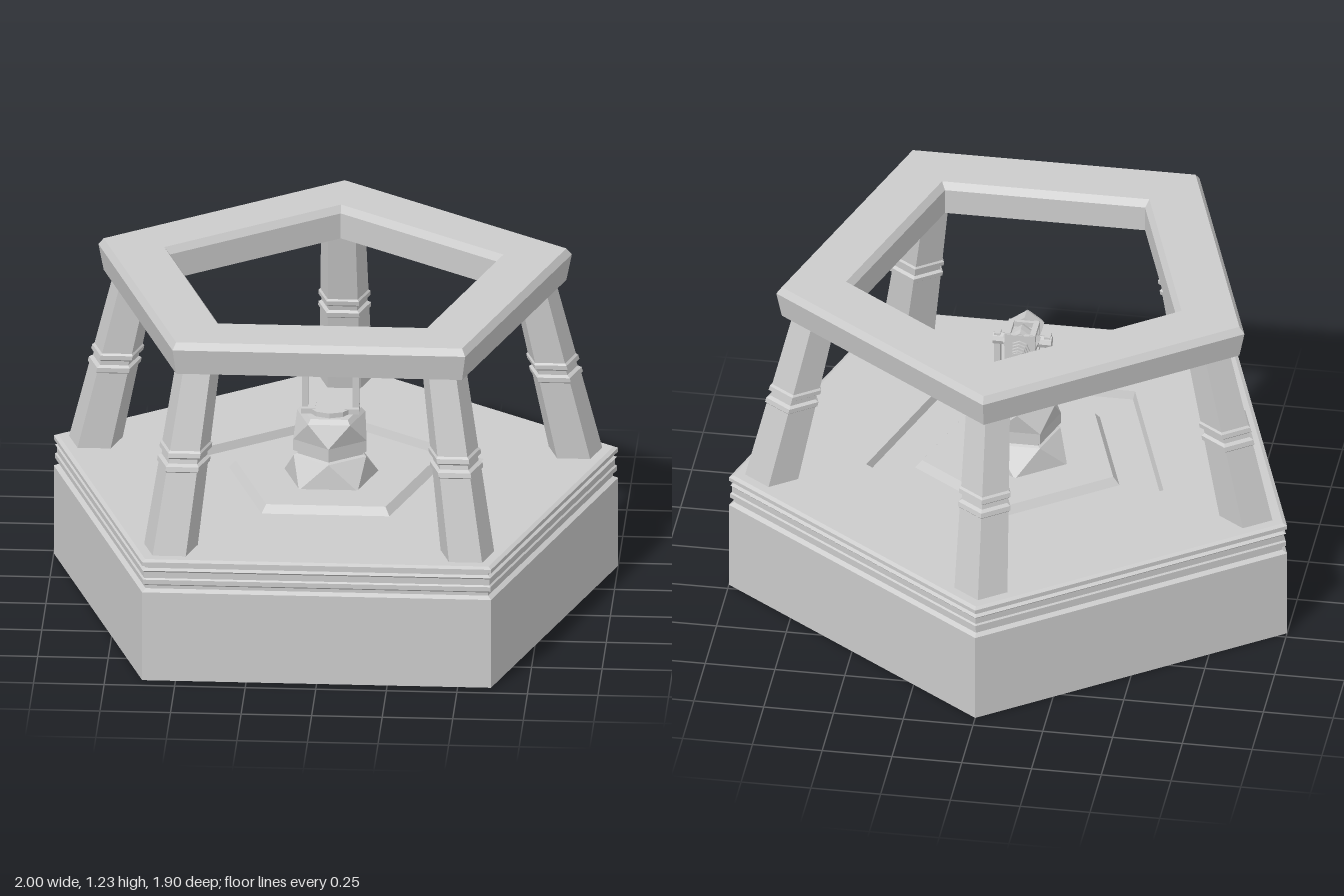
import * as THREE from 'three';

const SIDES = 5;
const CENTRE_Z = 0.1; // pentagon centre, so the bounds are centred on z = 0
const mat = new THREE.MeshStandardMaterial({ color: 0xcccccc, flatShading: true, side: THREE.DoubleSide });

function add(parent, name, geometry, x = 0, y = 0, z = 0) {
  const mesh = new THREE.Mesh(geometry, mat);
  mesh.name = name;
  mesh.position.set(x, y, z);
  parent.add(mesh);
  return mesh;
}

// Pentagonal solid from a [radius, height] profile; a corner points to -z when start = PI
function pentagon(profile, start = Math.PI, sides = SIDES) {
  return new THREE.LatheGeometry(profile.map(([r, y]) => new THREE.Vector2(r, y)), sides, start);
}

// Two pentagons twisted against each other, joined by triangles
function antiprism(r0, y0, r1, y1, start) {
  const pos = [];
  const pt = (r, y, a) => [r * Math.sin(a), y, r * Math.cos(a)];
  const step = (2 * Math.PI) / SIDES;
  for (let i = 0; i < SIDES; i++) {
    const a = start + i * step;
    const low = pt(r0, y0, a), lowNext = pt(r0, y0, a + step);
    const top = pt(r1, y1, a + step / 2), topNext = pt(r1, y1, a + step * 1.5);
    pos.push(...low, ...lowNext, ...top, ...lowNext, ...topNext, ...top);
  }
  const g = new THREE.BufferGeometry();
  g.setAttribute('position', new THREE.Float32BufferAttribute(pos, 3));
  g.computeVertexNormals();
  return g;
}

// Column leaning inward: a banded pentagonal profile sheared along its height
function columnGeometry() {
  const y0 = 0.45, y1 = 1.12;
  const radius = y => 0.1 - 0.018 * (y - y0) / (y1 - y0);
  const bands = [[0.45, 0], [0.75, 0], [0.755, 0.007], [0.772, 0.007], [0.78, -0.006],
    [0.796, -0.006], [0.804, 0.007], [0.82, 0.007], [0.827, 0], [1.12, 0]];
  const g = pentagon(bands.map(([y, d]) => [radius(y) + d, y]), 0);
  const p = g.attributes.position;
  for (let i = 0; i < p.count; i++) {
    p.setZ(i, p.getZ(i) + 0.895 - 0.157 * (p.getY(i) - y0) / (y1 - y0));
  }
  return g;
}

function createGun() {
  const gun = new THREE.Group();
  gun.name = 'gun';
  gun.position.set(0, 0.925, 0);
  const along = g => g.rotateX(Math.PI / 2); // profile height becomes z
  add(gun, 'rearHousing', along(pentagon([[0, 0.04], [0.064, 0.04], [0.07, 0.06], [0.07, 0.09], [0.058, 0.115], [0, 0.118]])), 0, 0, 0);
  add(gun, 'rearCap', along(pentagon([[0, 0], [0.066, 0], [0.066, 0.05], [0.052, 0.076], [0, 0.076]])), 0, 0, 0.142);
  // Open cage around the breech
  add(gun, 'breech', new THREE.BoxGeometry(0.07, 0.07, 0.1), 0, 0, 0.09);
  for (const z of [0.045, 0.135]) add(gun, 'cagePlate', new THREE.BoxGeometry(0.11, 0.11, 0.014), 0, 0, z);
  for (const x of [-0.045, 0.045]) for (const y of [-0.051, 0.051]) {
    add(gun, 'cageRail', new THREE.BoxGeometry(0.02, 0.016, 0.1), x, y, 0.09);
  }
  // Finned barrel
  add(gun, 'barrel', along(new THREE.CylinderGeometry(0.011, 0.011, 0.16, 8)), 0, 0, -0.02);
  add(gun, 'barrelSleeve', along(new THREE.CylinderGeometry(0.022, 0.022, 0.07, 8)), 0, 0, 0.01);
  for (let i = 0; i < 4; i++) {
    add(gun, 'coolingFin', along(new THREE.CylinderGeometry(0.036 - i * 0.003, 0.036 - i * 0.003, 0.008, 8)), 0, 0, 0.032 - i * 0.016);
  }
  for (const s of [-1, 1]) {
    add(gun, 'pivot', new THREE.CylinderGeometry(0.022, 0.022, 0.05, 8).rotateZ(Math.PI / 2), s * 0.08, 0, 0.1);
  }
  return gun;
}

export function createModel() {
  const model = new THREE.Group();
  model.name = 'pentagonalGunPavilion';

  // Hollow base: wall, mouldings, floor, recess and low dais in one shell, open below
  add(model, 'base', pentagon([
    [1.0515, 0], [1.0515, 0.335], [1.032, 0.345], [1.032, 0.357], [1.047, 0.365], [1.047, 0.382],
    [1.04, 0.387], [1.04, 0.41], [1.047, 0.416], [1.032, 0.423], [1.032, 0.43], [1.0515, 0.436],
    [1.0515, 0.45], [1.035, 0.457], [0.56, 0.457], [0.55, 0.427], [0.385, 0.427], [0.36, 0.455], [0.17, 0.455],
  ]), 0, 0, CENTRE_Z);

  // Five leaning columns, one per corner
  const column = columnGeometry();
  for (let i = 0; i < SIDES; i++) {
    add(model, 'column', column, 0, 0, CENTRE_Z).rotation.y = Math.PI + (i * 2 * Math.PI) / SIDES;
  }

  // Bevelled roof ring
  add(model, 'roofRing', pentagon([
    [0.61, 1.11], [0.862, 1.11], [0.882, 1.205], [0.862, 1.23], [0.632, 1.23], [0.61, 1.205], [0.61, 1.11],
  ]), 0, 0, CENTRE_Z);

  // Faceted turret pedestal
  const turret = new THREE.Group();
  turret.name = 'turret';
  turret.position.z = CENTRE_Z;
  model.add(turret);
  add(turret, 'pedestalFoot', antiprism(0.177, 0.45, 0.135, 0.545, Math.PI));
  add(turret, 'pedestalNeck', pentagon([[0, 0.545], [0.135, 0.545], [0.122, 0.55], [0.122, 0.558], [0.137, 0.563], [0.137, 0.605]], 0));
  add(turret, 'pedestalShoulder', antiprism(0.137, 0.605, 0.127, 0.685, 0));
  add(turret, 'pedestalTop', pentagon([[0.127, 0.685], [0.112, 0.702], [0, 0.702]]));
  add(turret, 'turntable', new THREE.CylinderGeometry(0.08, 0.08, 0.02, 10), 0, 0.71, 0);

  // Fork arms holding the gun
  for (const s of [-1, 1]) {
    add(turret, 'forkArm', new THREE.BoxGeometry(0.022, 0.25, 0.034), s * 0.09, 0.825, 0.005);
    add(turret, 'forkFoot', new THREE.BoxGeometry(0.05, 0.02, 0.07), s * 0.077, 0.712, 0.005);
  }

  model.add(createGun());
  return model;
}
